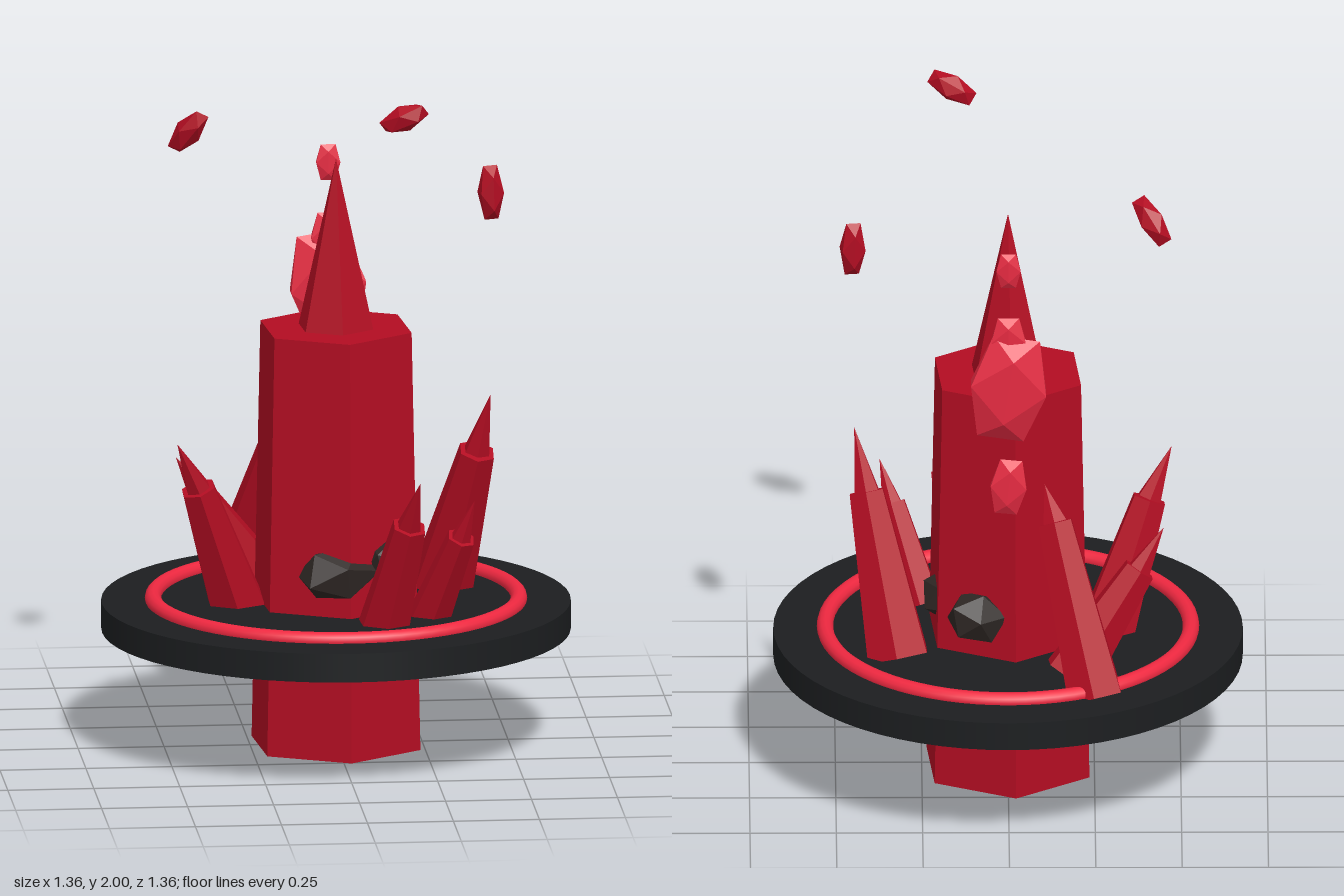
import * as THREE from 'three';

const paint = (color, flatShading = true) => new THREE.MeshStandardMaterial({ color, flatShading });

export function createModel() {
  const model = new THREE.Group();
  const red = paint(0xb30d22);
  const pink = paint(0xe62a41);
  const rock = paint(0x2e2724);
  const black = paint(0x1c1e20, false);
  const glow = paint(0xee2840, false);

  const add = (name, geometry, material, position, parent = model) => {
    const mesh = new THREE.Mesh(geometry, material);
    mesh.name = name;
    mesh.position.set(...position);
    parent.add(mesh);
    return mesh;
  };

  // Round platform with its glowing ring
  add('platform', new THREE.CylinderGeometry(0.68, 0.68, 0.085, 64), black, [0, 0.385, 0]);
  add('platformRing', new THREE.TorusGeometry(0.53, 0.024, 12, 72), glow, [0, 0.433, 0]).rotation.x = Math.PI / 2;

  // Central six-sided pillar and its pointed tip
  add('pillar', new THREE.CylinderGeometry(0.233, 0.26, 1.24, 6), red, [0, 0.62, 0]).rotation.y = 0.085;
  add('pillarTip', new THREE.ConeGeometry(0.115, 0.5, 6), red, [0, 1.49, 0]).rotation.y = 0.085;

  // Tapered hexagonal segment between two points
  const segment = (name, from, to, rBottom, rTop, parent) => {
    const a = new THREE.Vector3(...from), b = new THREE.Vector3(...to);
    const dir = b.clone().sub(a);
    const mid = a.clone().add(b).multiplyScalar(0.5);
    const mesh = add(name, new THREE.CylinderGeometry(rTop, rBottom, dir.length(), 6), red, mid.toArray(), parent);
    mesh.quaternion.setFromUnitVectors(new THREE.Vector3(0, 1, 0), dir.normalize());
  };

  // Leaning crystals: base, shoulder, tip, base radius, shoulder radius
  const crystals = [
    [[0.32, 0.41, -0.17], [0.41, 0.86, 0], [0.445, 1.04, 0.05], 0.1, 0.056],
    [[-0.25, 0.4, -0.44], [-0.135, 0.87, -0.245], [-0.105, 0.97, -0.2], 0.09, 0.055],
    [[-0.285, 0.41, 0.0], [-0.41, 0.79, 0.1], [-0.475, 0.935, 0.15], 0.09, 0.053],
    [[-0.18, 0.4, -0.28], [-0.38, 0.7, -0.2], [-0.45, 0.82, -0.17], 0.085, 0.05],
    [[0.11, 0.4, 0.29], [0.175, 0.74, 0.42], [0.2, 0.885, 0.495], 0.08, 0.052],
    [[0.25, 0.41, 0.2], [0.335, 0.68, 0.32], [0.37, 0.8, 0.365], 0.065, 0.043],
  ];
  crystals.forEach(([base, shoulder, tip, r0, r1]) => {
    const crystal = new THREE.Group();
    crystal.name = 'leaningCrystal';
    segment('crystalBody', base, shoulder, r0, r1, crystal);
    segment('crystalSpike', shoulder, tip, r1 * 0.72, 0, crystal);
    model.add(crystal);
  });

  // Faceted stone: position, half sizes, rotation
  const stones = (name, material, list) => list.forEach(([position, size, turn]) => {
    const mesh = add(name, new THREE.IcosahedronGeometry(1 / 0.85, 0), material, position);
    mesh.scale.set(...size);
    mesh.rotation.set(...turn);
  });

  // Dark rocks embedded around the pillar
  stones('embeddedRock', rock, [
    [[-0.01, 0.55, 0.18], [0.11, 0.075, 0.085], [0.2, 0.3, 0.1]],
    [[0.14, 0.57, 0.16], [0.07, 0.07, 0.07], [0.4, 0.8, 0.2]],
    [[0.18, 0.56, -0.05], [0.06, 0.07, 0.07], [0.1, 0.5, 0.6]],
    [[0.09, 0.55, -0.2], [0.08, 0.07, 0.07], [0.7, 0.2, 0.1]],
  ]);

  // Flat bright shards behind the pillar
  stones('backShard', pink, [
    [[0, 1.3, -0.255], [0.11, 0.16, 0.042], [0, 0, 0.15]],
    [[0, 1.445, -0.25], [0.05, 0.075, 0.018], [0, 0, 0]],
    [[0, 0.985, -0.25], [0.052, 0.085, 0.018], [0, 0, 0.1]],
    [[0, 1.67, -0.25], [0.035, 0.053, 0.012], [0, 0, 0]],
  ]);

  // Floating shards above
  stones('floatingShard', red, [
    [[-0.415, 1.79, -0.165], [0.034, 0.075, 0.034], [0.45, 0, -0.55]],
    [[0.16, 1.955, 0.415], [0.034, 0.07, 0.034], [0.6, 0, -1.05]],
    [[0.45, 1.63, 0], [0.034, 0.08, 0.034], [0, 0.2, 0.03]],
  ]);

  return model;
}
